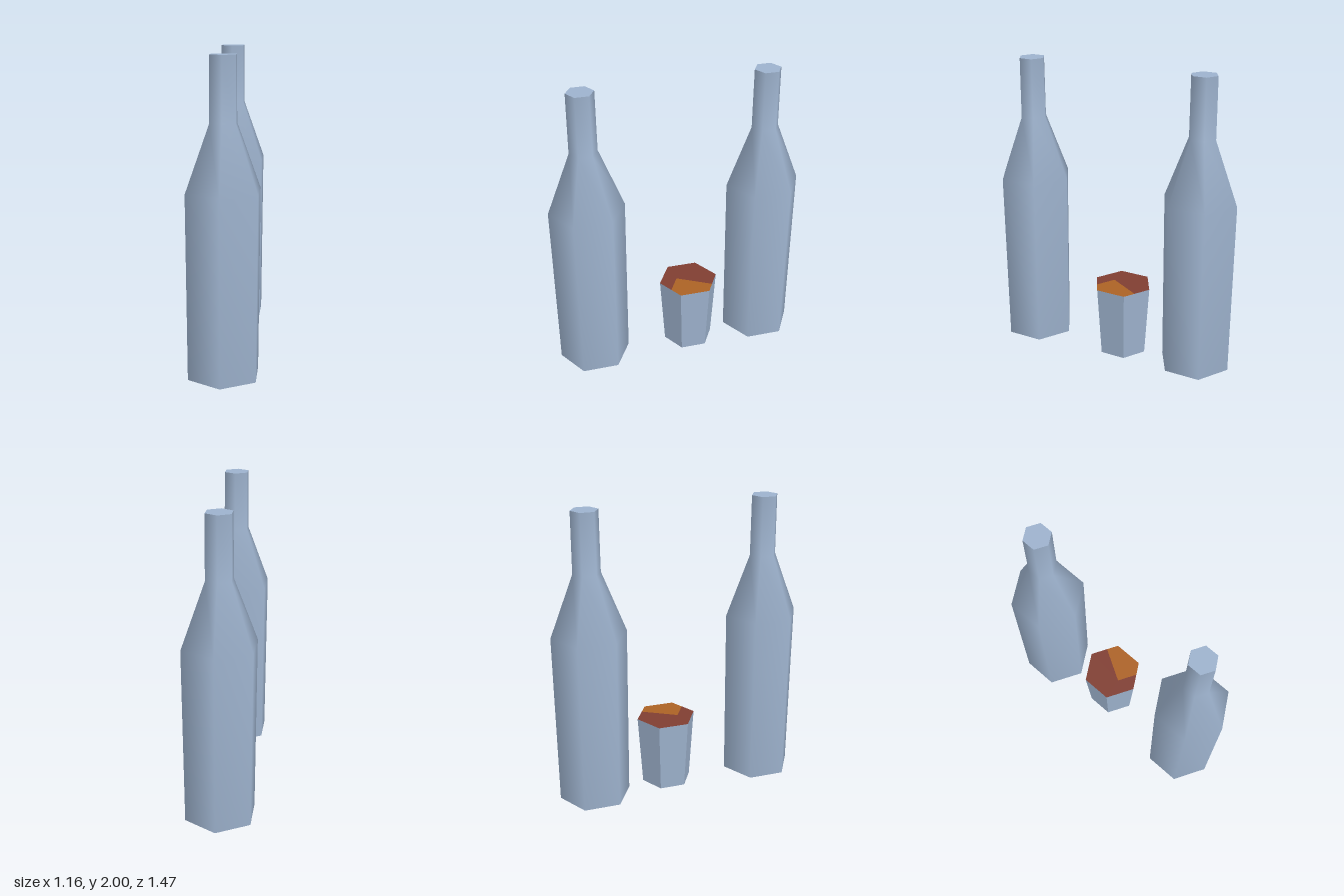
import * as THREE from 'three';

const H = Math.sqrt(3) / 2; // flat-to-centre ratio of a hexagon

export function createModel() {
  const model = new THREE.Group();
  const glass = new THREE.MeshStandardMaterial({ color: 0x9db2cd });
  glass.name = 'blue grey';
  const brown = new THREE.MeshStandardMaterial({ color: 0x803e32 });
  brown.name = 'red brown';
  const amber = new THREE.MeshStandardMaterial({ color: 0xac6225 });
  amber.name = 'amber';

  const add = (parent, name, geometry, material) => {
    const mesh = new THREE.Mesh(geometry, material);
    mesh.name = name;
    parent.add(mesh);
    return mesh;
  };

  // Flat hexagonal end, corners on the x axis
  const addEnd = (parent, name, radius, y, up) => {
    const end = add(parent, name, new THREE.CircleGeometry(radius, 6), glass);
    end.rotation.x = up ? -Math.PI / 2 : Math.PI / 2;
    end.position.y = y;
  };

  // Two smooth six-sided bottles, diagonally opposite
  const profile = [[0.244, 0], [0.253, 1.18], [0.092, 1.595], [0.09, 2]]
    .map(([r, y]) => new THREE.Vector2(r, y));
  const bottleBody = new THREE.LatheGeometry(profile, 6, Math.PI / 2);
  for (const side of [-1, 1]) {
    const bottle = new THREE.Group();
    bottle.name = side < 0 ? 'rightBottle' : 'leftBottle';
    bottle.position.set(0.328 * side, 0, 0.516 * side);
    add(bottle, 'bottleBody', bottleBody, glass);
    addEnd(bottle, 'bottleBase', 0.244, 0, false);
    addEnd(bottle, 'bottleMouth', 0.09, 2, true);
    model.add(bottle);
  }

  // Faceted cup between them
  const cup = new THREE.Group();
  cup.name = 'cup';
  const cx = -0.0175, cz = -0.08, top = 0.205, height = 0.49;
  cup.position.set(cx, 0, cz);
  const wall = new THREE.CylinderGeometry(top, 0.172, height, 6, 1, true, Math.PI / 2)
    .toNonIndexed();
  wall.computeVertexNormals();
  add(cup, 'cupWall', wall, glass).position.y = height / 2;
  addEnd(cup, 'cupBase', 0.172, 0, false);
  model.add(cup);

  // Two-coloured drink surface, split at the model's centre lines
  const ox = -cx, oy = cz; // split corner, in the cup's own plane
  const edgeX = top - Math.abs(oy) / (2 * H);
  const split = [[ox, top * H], [ox, oy], [edgeX, oy]];
  const amberOutline = [...split, [top, 0], [top / 2, top * H]];
  const brownOutline = [...split, [top / 2, -top * H], [-top / 2, -top * H],
    [-top, 0], [-top / 2, top * H]];
  const addDrink = (name, outline, material) => {
    const shape = new THREE.Shape(outline.map(([x, y]) => new THREE.Vector2(x, y)));
    const drink = add(cup, name, new THREE.ShapeGeometry(shape), material);
    drink.rotation.x = -Math.PI / 2;
    drink.position.y = height;
  };
  addDrink('amberDrink', amberOutline, amber);
  addDrink('brownDrink', brownOutline, brown);

  return model;
}
